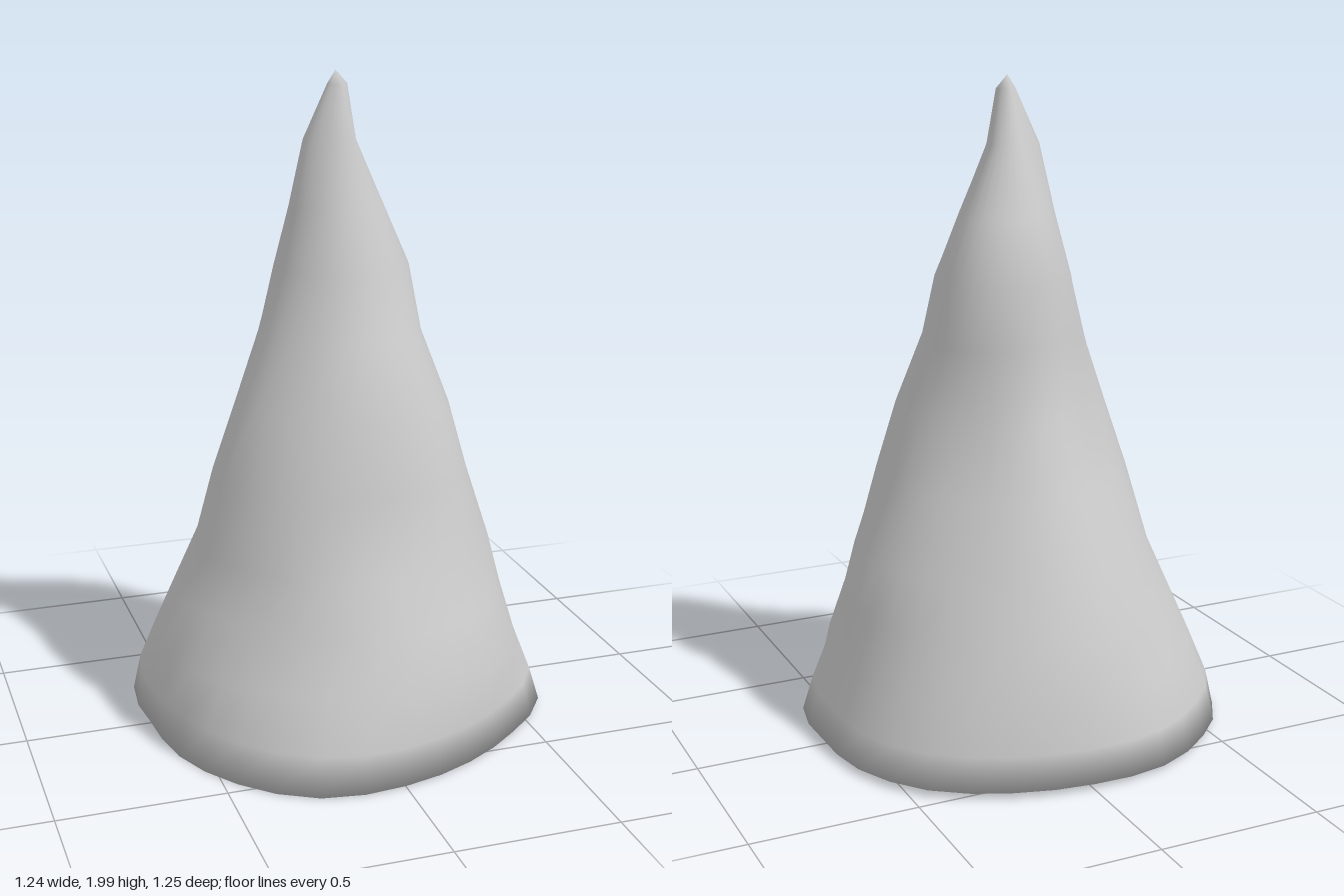
import * as THREE from 'three';

// Each ring: height, then radii evenly spaced around it, going from +x towards +z
const RINGS = [
  [0.03, 0.61, 0.637, 0.60, 0.60, 0.627, 0.666, 0.65, 0.63, 0.615, 0.665, 0.648, 0.64, 0.615, 0.618, 0.64, 0.633],
  [0.13, 0.58, 0.605, 0.585, 0.59, 0.62, 0.65, 0.63, 0.61, 0.61, 0.64, 0.625, 0.62, 0.60, 0.60, 0.615, 0.605],
  [0.27, 0.535, 0.57, 0.575, 0.56, 0.585, 0.575, 0.575, 0.565],
  [0.43, 0.495, 0.51, 0.52, 0.485, 0.52, 0.50, 0.525, 0.50],
  [0.58, 0.46, 0.46, 0.435, 0.445, 0.45, 0.44, 0.465, 0.44],
  [0.80, 0.37, 0.405, 0.365, 0.395, 0.40, 0.345, 0.38, 0.345],
  [1.01, 0.32, 0.34, 0.345, 0.325, 0.33, 0.265, 0.28, 0.265],
  [1.23, 0.245, 0.25, 0.235, 0.235, 0.245, 0.235, 0.24, 0.255],
  [1.42, 0.22, 0.19, 0.185, 0.175, 0.19, 0.205, 0.24, 0.25],
  [1.60, 0.14, 0.13, 0.115, 0.13, 0.15, 0.15, 0.18, 0.185],
  [1.80, 0.05, 0.055, 0.075, 0.09, 0.11, 0.085, 0.085, 0.065],
  [1.96, 0.025, 0.025, 0.03, 0.03, 0.035, 0.03, 0.035, 0.03],
];
const SIDES = 32;

// Smooth closed interpolation of the radii around a ring, turn from 0 to 1
function radiusAt(radii, turn) {
  const n = radii.length, i = Math.floor(turn * n), f = turn * n - i;
  const [a, b, c, d] = [-1, 0, 1, 2].map((k) => radii[(i + k + n) % n]);
  return b + 0.5 * f * (c - a + f * (2 * a - 5 * b + 4 * c - d + f * (3 * (b - c) + d - a)));
}

function spireGeometry() {
  const positions = [], index = [];
  RINGS.forEach(([y, ...radii], row) => {
    for (let s = 0; s < SIDES; s++) {
      const angle = (s / SIDES) * Math.PI * 2;
      const r = radiusAt(radii, s / SIDES);
      // uneven bottom rim, lowest towards -x+z
      const sag = row === 0 ? 0.01 * Math.cos(angle - 2.4) + 0.01 : 0;
      positions.push(Math.cos(angle) * r, y - sag, Math.sin(angle) * r);
    }
  });
  const tip = positions.length / 3, base = tip + 1;
  positions.push(-0.01, 2, 0, 0, 0.03, 0);

  const last = (RINGS.length - 1) * SIDES;
  for (let s = 0; s < SIDES; s++) {
    const next = (s + 1) % SIDES;
    for (let row = 0; row < RINGS.length - 1; row++) {
      const a = row * SIDES + s, b = row * SIDES + next;
      index.push(a, a + SIDES, b, b, a + SIDES, b + SIDES);
    }
    index.push(last + s, tip, last + next); // pointed top
    index.push(base, s, next); // underside
  }
  const geometry = new THREE.BufferGeometry();
  geometry.setAttribute('position', new THREE.Float32BufferAttribute(positions, 3));
  geometry.setIndex(index);
  geometry.computeVertexNormals();
  return geometry;
}

export function createModel() {
  const group = new THREE.Group();
  group.name = 'rockSpire';
  const spire = new THREE.Mesh(
    spireGeometry(),
    new THREE.MeshStandardMaterial({ color: 0xcccccc })
  );
  spire.name = 'spire';
  group.add(spire);
  return group;
}
